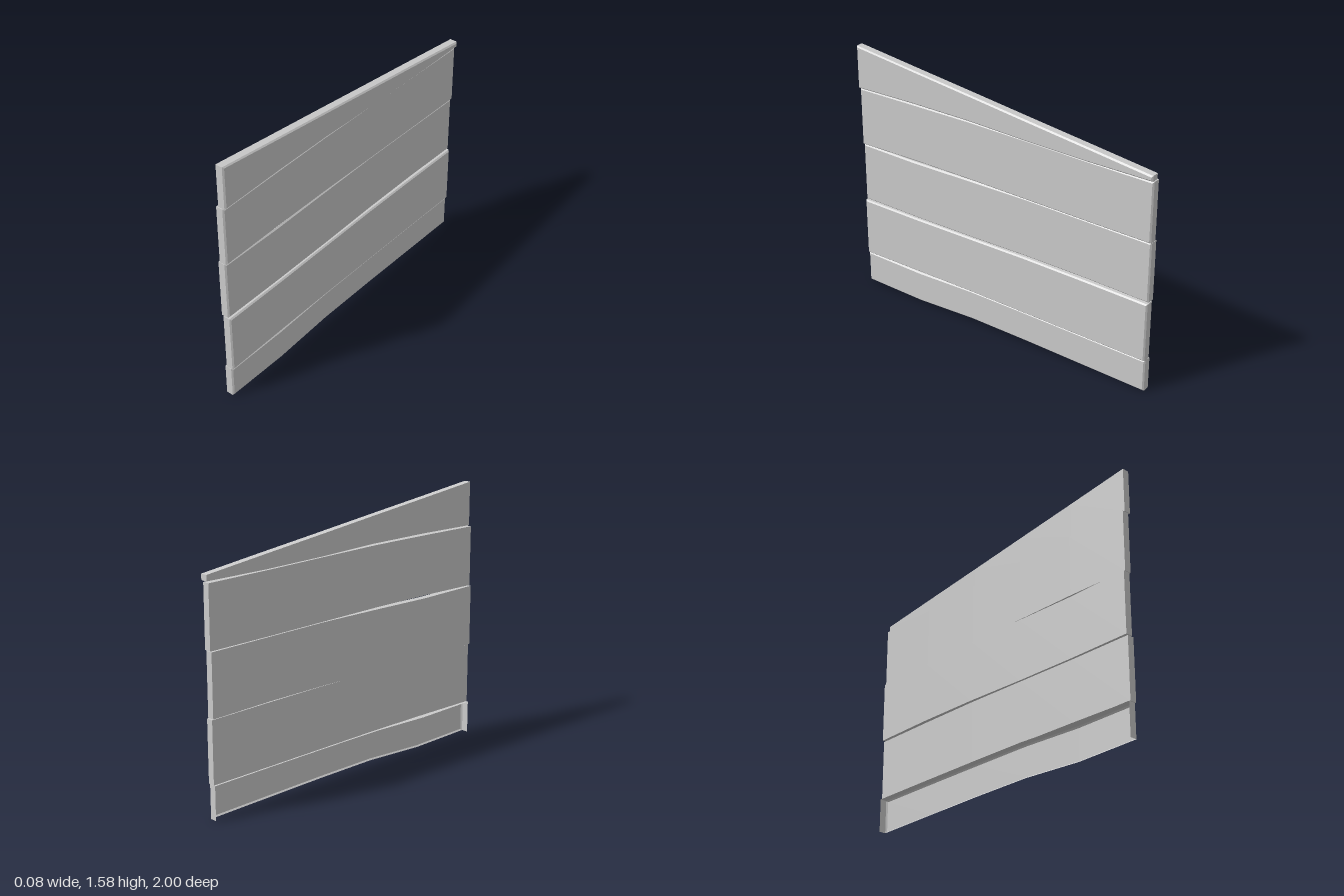
import * as THREE from 'three';

const STATIONS = [1, 0.6, 0.2, -0.2, -0.6, -1]; // z positions along every plank
const THICKNESS = 0.05;
const BEVEL = 0.008;

// Heights of the lower and upper edges at each station; back is the x of the rear face
const PLANKS = [
  { name: 'bottomPlank', back: -0.04, open: true,
    low: [0.007, 0, 0.02, 0.018, 0.011, 0.004], high: [0.204, 0.199, 0.212, 0.211, 0.208, 0.204] },
  { name: 'lowerPlank', back: -0.03,
    low: [0.207, 0.212, 0.214, 0.211, 0.208, 0.205], high: [0.573, 0.572, 0.576, 0.58, 0.577, 0.571] },
  { name: 'middlePlank', back: -0.04,
    low: [0.578, 0.575, 0.578, 0.586, 0.586, 0.578], high: [0.945, 0.94, 0.947, 0.952, 0.948, 0.944] },
  { name: 'upperPlank', back: -0.03,
    low: [0.948, 0.955, 0.956, 0.952, 0.948, 0.946], high: [1.31, 1.316, 1.32, 1.316, 1.311, 1.309] },
  { name: 'slopedTopPlank', back: -0.015,
    low: [1.315, 1.324, 1.326, 1.316, 1.312, 1.316], high: [1.578, 1.532, 1.487, 1.441, 1.396, 1.35] },
];

// Plank from three outlines: rear edge, start of the front bevel, and inset front face
function plankGeometry({ back, low, high, open }) {
  const n = STATIONS.length;
  const front = back + THICKNESS;
  const outline = (x, inset) => {
    const point = (i, y) => new THREE.Vector3(x, y, STATIONS[i] * (1 - inset));
    const bottom = STATIONS.map((_, i) => point(i, low[i] + inset));
    const top = STATIONS.map((_, i) => point(i, high[i] - inset));
    return [...bottom, ...top.reverse()];
  };
  const rings = [outline(back, 0), outline(front - BEVEL, 0), outline(front, BEVEL)];
  const corners = [];
  const quad = (a, b, c, d) => corners.push(a, b, c, a, c, d);

  // Edges and bevel; an open plank has no underside
  for (let r = 0; r < 2; r++) {
    for (let i = 0; i < 2 * n; i++) {
      if (open && r === 0 && i < n - 1) continue;
      const j = (i + 1) % (2 * n);
      quad(rings[r][i], rings[r][j], rings[r + 1][j], rings[r + 1][i]);
    }
  }
  // Front and rear faces
  for (let i = 0; i < n - 1; i++) {
    const k = 2 * n - 1 - i;
    const [rear, , face] = rings;
    quad(face[i], face[i + 1], face[k - 1], face[k]);
    if (!open) quad(rear[i], rear[k], rear[k - 1], rear[i + 1]);
  }
  const geometry = new THREE.BufferGeometry().setFromPoints(corners);
  geometry.computeVertexNormals();
  return geometry;
}

export function createModel() {
  const wall = new THREE.Group();
  wall.name = 'plankWall';
  const material = new THREE.MeshStandardMaterial({
    color: 0xcccccc, flatShading: true, side: THREE.DoubleSide,
  });
  for (const plank of PLANKS) {
    const mesh = new THREE.Mesh(plankGeometry(plank), material);
    mesh.name = plank.name;
    wall.add(mesh);
  }
  return wall;
}
